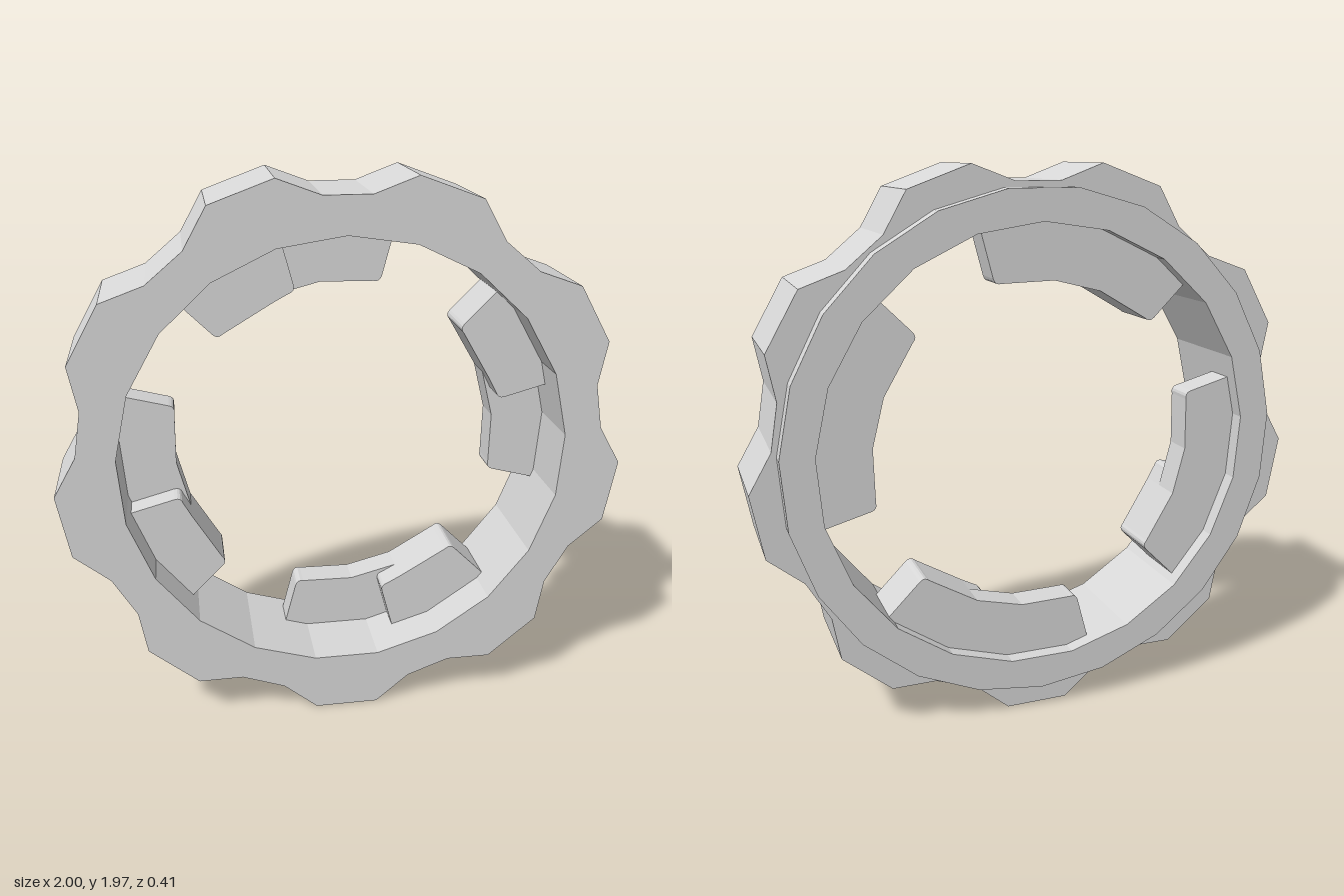
import * as THREE from 'three';

const CENTER_Y = 0.995;
const polar = (r, deg) => {
  const a = THREE.MathUtils.degToRad(deg);
  return new THREE.Vector2(r * Math.cos(a), r * Math.sin(a));
};

// Regular polygon with its first corner at the given angle
const polygon = (r, sides, startDeg) =>
  Array.from({ length: sides }, (_, i) => polar(r, startDeg + (i * 360) / sides));
const opening = () => new THREE.Path(polygon(0.79, 21, 90));

function slab(shape, z0, z1, material, name) {
  const geometry = new THREE.ExtrudeGeometry(shape, {
    depth: z1 - z0, bevelEnabled: false, curveSegments: 4,
  });
  geometry.translate(0, 0, z0);
  const mesh = new THREE.Mesh(geometry, material);
  mesh.name = name;
  return mesh;
}

// Curved lug: radial ends, faceted inner edge, small rounded inner corners
function lugShape(startDeg, endDeg, innerDegs) {
  const outer = 0.8, inner = 0.592, end = 0.6, round = 0.025, turn = 2.4;
  const shape = new THREE.Shape();
  const line = (p) => shape.lineTo(p.x, p.y);
  const corner = (c, p) => shape.quadraticCurveTo(c.x, c.y, p.x, p.y);
  const first = polar(outer, startDeg);
  shape.moveTo(first.x, first.y);
  for (let i = 1; i <= 6; i++) line(polar(outer, startDeg + ((endDeg - startDeg) * i) / 6));
  line(polar(end + round, endDeg));
  corner(polar(end, endDeg), polar(end, endDeg - turn));
  innerDegs.forEach((d) => line(polar(inner, d)));
  line(polar(end, startDeg + turn));
  corner(polar(end, startDeg), polar(end + round, startDeg));
  shape.closePath();
  return shape;
}

export function createModel() {
  const grey = new THREE.MeshStandardMaterial({ color: 0xd8d8d8 });
  grey.name = 'lightGrey';
  const model = new THREE.Group();
  model.name = 'bayonetRing';
  const ring = new THREE.Group();
  ring.name = 'ring';
  ring.position.y = CENTER_Y;
  model.add(ring);

  // Scalloped grip: nine flat lobes with flat valleys between
  const outline = [];
  for (let i = 0; i < 9; i++) {
    const lobe = -90 + i * 40;
    outline.push(polar(1.002, lobe - 6.6), polar(1.002, lobe + 6.6));
    outline.push(polar(0.923, lobe + 14.9), polar(0.923, lobe + 25.1));
  }
  const grip = new THREE.Shape(outline);
  grip.holes.push(opening());
  ring.add(slab(grip, -0.15, 0.205, grey, 'scallopedGrip'));

  // Thin round flange on the back
  const flange = new THREE.Shape(polygon(0.906, 23, -90));
  flange.holes.push(opening());
  ring.add(slab(flange, -0.205, -0.15, grey, 'backFlange'));

  // Four locking lugs, each with a shorter stop in front of its far half
  for (let i = 0; i < 4; i++) {
    const lug = new THREE.Group();
    lug.name = 'lockingLug';
    lug.rotation.z = (i * Math.PI) / 2;
    lug.add(slab(lugShape(-15, 45, [22.9, 5.7]), -0.15, -0.04, grey, 'lug'));
    lug.add(slab(lugShape(15, 45, [22.9]), -0.04, 0.055, grey, 'stop'));
    ring.add(lug);
  }
  return model;
}
